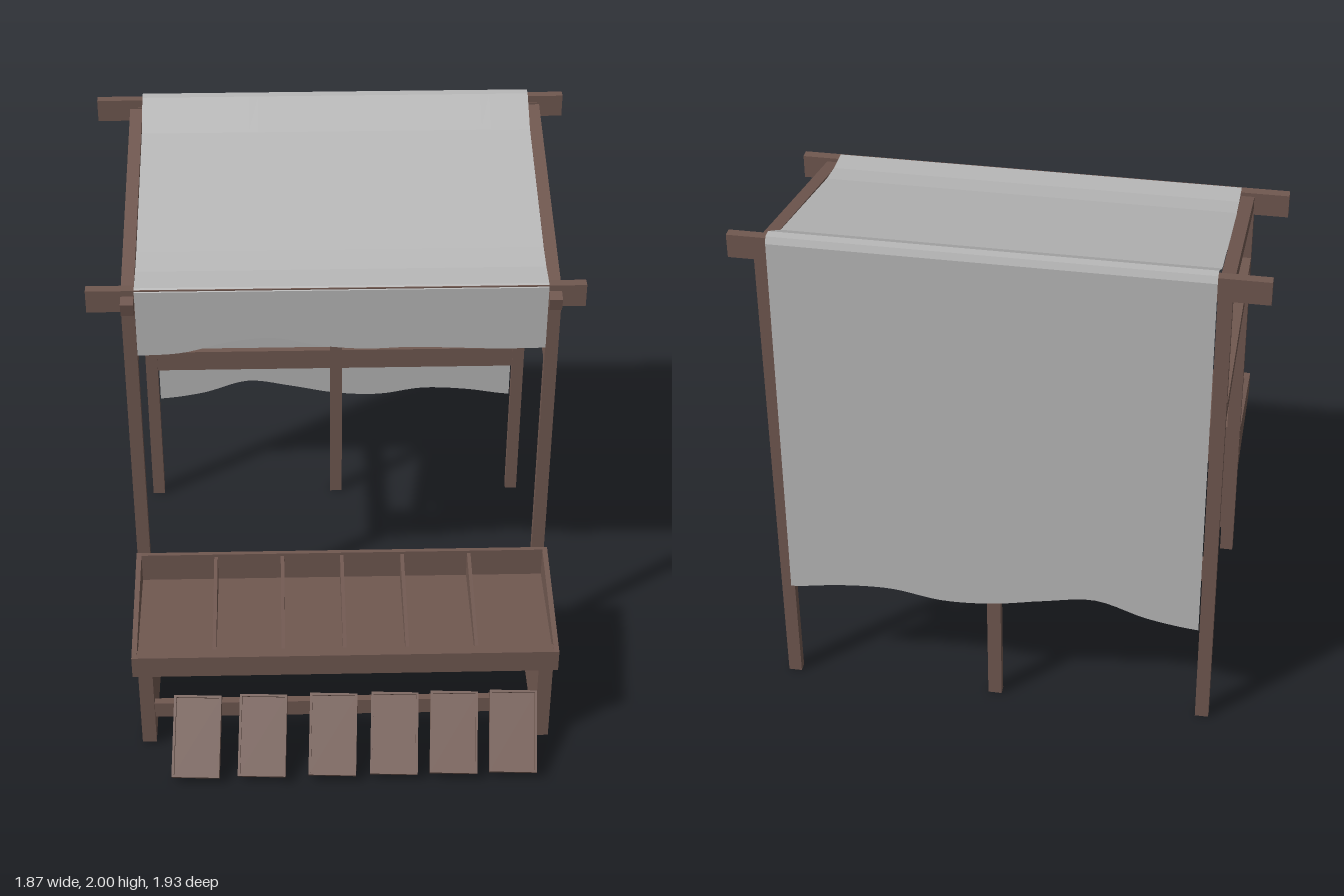
import * as THREE from 'three';

const wood = new THREE.MeshStandardMaterial({ color: 0x705850 });
wood.name = 'brown wood';
const cloth = new THREE.MeshStandardMaterial({ color: 0xb8b8b8, side: THREE.DoubleSide });
cloth.name = 'grey cloth';

// Box given by its extents on each axis
function plank(parent, name, [x0, x1], [y0, y1], [z0, z1]) {
  const mesh = new THREE.Mesh(new THREE.BoxGeometry(x1 - x0, y1 - y0, z1 - z0), wood);
  mesh.position.set((x0 + x1) / 2, (y0 + y1) / 2, (z0 + z1) / 2);
  mesh.name = name;
  parent.add(mesh);
}

// Side profile of [z, y] points, extruded from x0 to x1
function slab(parent, name, profile, x0, x1) {
  const shape = new THREE.Shape(profile.map(([z, y]) => new THREE.Vector2(z, y)));
  const geometry = new THREE.ExtrudeGeometry(shape, { depth: x1 - x0, bevelEnabled: false });
  geometry.rotateY(-Math.PI / 2).translate(x1, 0, 0);
  const mesh = new THREE.Mesh(geometry, wood);
  mesh.name = name;
  parent.add(mesh);
}

function buildFrame() {
  const frame = new THREE.Group();
  frame.name = 'frame';
  const front = [0.085, 0.12], back = [-0.92, -0.885];
  for (const x of [[-0.806, -0.755], [0.79, 0.84]]) {
    plank(frame, 'frontPost', x, [0, 1.73], front);
    plank(frame, 'backPost', x, [0, 1.96], back);
    plank(frame, 'sideBrace', x, [1.39, 1.445], [-0.885, 0.085]);
    slab(frame, 'rafter', [[0.155, 1.645], [0.165, 1.697], [-0.9, 1.957], [-0.9, 1.903]], x[0] + 0.001, x[1] - 0.001);
  }
  plank(frame, 'middlePost', [-0.005, 0.047], [0, 1.92], back);
  plank(frame, 'backRail', [-0.755, 0.79], [0.672, 0.765], [-0.918, -0.89]);
  plank(frame, 'frontBeam', [-0.935, 0.932], [1.64, 1.732], [0.083, 0.121]);
  plank(frame, 'backBeam', [-0.935, 0.932], [1.9, 1.99], [-0.921, -0.886]);
  return frame;
}

// One sheet draped over the beams, with a wavy hem at both ends
function buildAwning() {
  const hem = (ys) => new THREE.SplineCurve(ys.map((y, i) => new THREE.Vector2(i, y)));
  const backHem = hem([0.47, 0.5, 0.56, 0.53, 0.49, 0.48, 0.51, 0.5, 0.47]);
  const frontHem = hem([1.445, 1.455, 1.5, 1.517, 1.48, 1.463, 1.468, 1.462, 1.455, 1.456]);
  const drape = [[-0.935, 1.975], [-0.925, 2], [-0.89, 2], [-0.745, 1.917], [-0.11, 1.757],
    [0, 1.74], [0.11, 1.737], [0.124, 1.725]];
  const columns = 40, positions = [], index = [];
  const rows = drape.length + 2;
  for (let i = 0; i <= columns; i++) {
    const t = i / columns;
    const line = [[-0.962, backHem.getPoint(t).y], ...drape, [0.125, frontHem.getPoint(t).y]];
    for (const [z, y] of line) positions.push(-0.754 + 1.545 * t, y, z);
  }
  for (let i = 0; i < columns; i++) {
    for (let j = 0; j < rows - 1; j++) {
      const a = i * rows + j, c = a + rows;
      index.push(a, a + 1, c, c, a + 1, c + 1);
    }
  }
  const indexed = new THREE.BufferGeometry();
  indexed.setAttribute('position', new THREE.Float32BufferAttribute(positions, 3));
  indexed.setIndex(index);
  const geometry = indexed.toNonIndexed();
  geometry.computeVertexNormals();
  const mesh = new THREE.Mesh(geometry, cloth);
  mesh.name = 'awning';
  return mesh;
}

function buildTable() {
  const table = new THREE.Group();
  table.name = 'displayTable';
  const end = [[0.205, 0.36], [0.73, 0.36], [0.73, 0.455], [0.69, 0.46], [0.205, 0.545]];
  const divider = [[0.215, 0.4], [0.69, 0.4], [0.69, 0.45], [0.215, 0.535]];
  // Crate with sloping ends and six compartments
  slab(table, 'crateEnd', end, -0.802, -0.782);
  slab(table, 'crateEnd', end, 0.82, 0.84);
  plank(table, 'crateBack', [-0.782, 0.82], [0.36, 0.545], [0.205, 0.222]);
  plank(table, 'crateFront', [-0.782, 0.82], [0.36, 0.455], [0.685, 0.73]);
  plank(table, 'crateFloor', [-0.782, 0.82], [0.36, 0.42], [0.222, 0.685]);
  for (const x of [-0.485, -0.22, 0.017, 0.258, 0.525]) {
    slab(table, 'divider', divider, x - 0.007, x + 0.007);
  }
  // Supports
  for (const x of [[-0.78, -0.725], [0.765, 0.82]]) {
    plank(table, 'endPanel', x, [0.015, 0.36], [0.206, 0.729]);
  }
  plank(table, 'stretcher', [-0.725, 0.765], [0.135, 0.205], [0.685, 0.715]);
  return table;
}

// Shallow open tray leaning on the stretcher
function buildTray(x) {
  const tray = new THREE.Group();
  tray.name = 'tray';
  const w = 0.092, l = 0.158, h = 0.024, rim = 0.009;
  plank(tray, 'trayFloor', [-w, w], [-h, h - 0.022], [-l, l]);
  for (const s of [-1, 1]) {
    const span = (outer) => [s * outer, s * (outer - rim)].sort((a, b) => a - b);
    plank(tray, 'traySide', span(w), [h - 0.022, h], [-l, l]);
    plank(tray, 'trayEnd', [-w + rim, w - rim], [h - 0.022, h], span(l));
  }
  tray.rotation.set(0.72, -0.05, 0, 'YXZ');
  tray.position.set(x, 0.133, 0.828);
  return tray;
}

export function createModel() {
  const model = new THREE.Group();
  model.name = 'marketStall';
  model.add(buildFrame(), buildAwning(), buildTable());
  for (const x of [-0.56, -0.305, -0.032, 0.206, 0.437, 0.668]) model.add(buildTray(x));
  return model;
}
